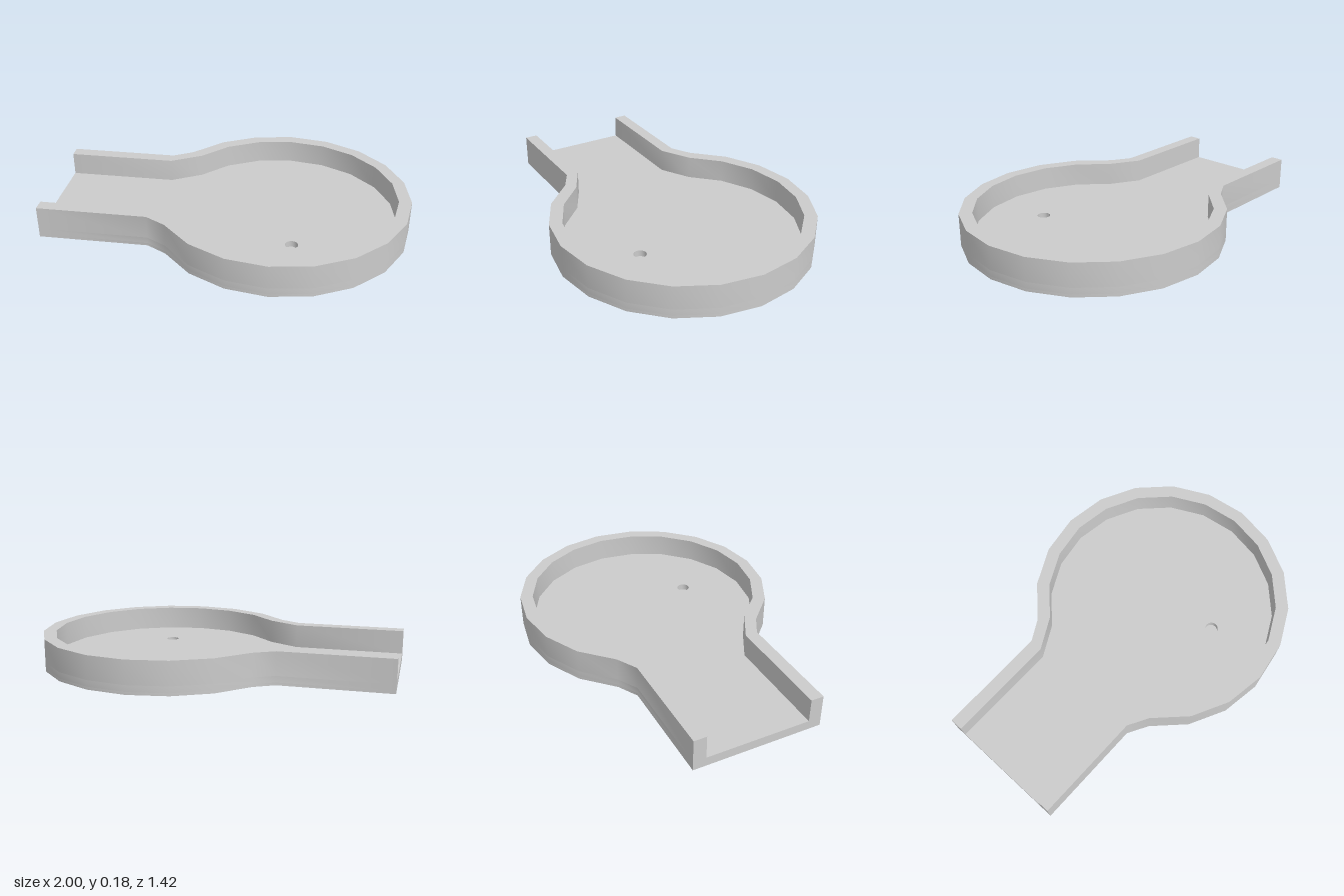
import * as THREE from 'three';
import { toCreasedNormals } from 'three/addons/utils/BufferGeometryUtils.js';

const HEIGHT = 0.18, FLOOR = 0.05, HOLE_BOTTOM = 0.015;
const CENTRE_X = 0.29, NECK_X = -0.395;

// Open outline from one end of the channel, round the 20-sided bowl, to the other end
function outline(radius, halfWidth) {
  const points = [[-1, -halfWidth], [NECK_X, -halfWidth]];
  for (let i = -8; i <= 8; i++) {
    const a = (i * Math.PI) / 10;
    points.push([CENTRE_X + radius * Math.cos(a), radius * Math.sin(a)]);
  }
  points.push([NECK_X, halfWidth], [-1, halfWidth]);
  return points.map(([x, y]) => new THREE.Vector2(x, y));
}

// Upright prism of a plan shape between two heights
function prism(name, shape, bottom, top, material) {
  const geometry = new THREE.ExtrudeGeometry(shape, {
    depth: top - bottom, bevelEnabled: false, curveSegments: 12,
  });
  geometry.rotateX(-Math.PI / 2);
  geometry.translate(0, bottom, 0);
  const mesh = new THREE.Mesh(toCreasedNormals(geometry, 0.61), material);
  mesh.name = name;
  return mesh;
}

export function createModel() {
  const group = new THREE.Group();
  group.name = 'tray';
  const material = new THREE.MeshStandardMaterial({ color: 0xcccccc });

  const outer = outline(0.71, 0.355);
  const inner = outline(0.64, 0.285);

  // Solid underside that closes the small hole
  group.add(prism('base', new THREE.Shape(outer), 0, HOLE_BOTTOM, material));

  // Floor with a blind round hole
  const floor = new THREE.Shape(outer);
  floor.holes.push(new THREE.Path().absarc(0.375, -0.31, 0.035, 0, Math.PI * 2, true));
  group.add(prism('floor', floor, HOLE_BOTTOM, FLOOR, material));

  // Continuous rim, open at the end of the channel
  const rim = new THREE.Shape([...outer, ...inner.reverse()]);
  group.add(prism('rim', rim, FLOOR, HEIGHT, material));

  return group;
}
